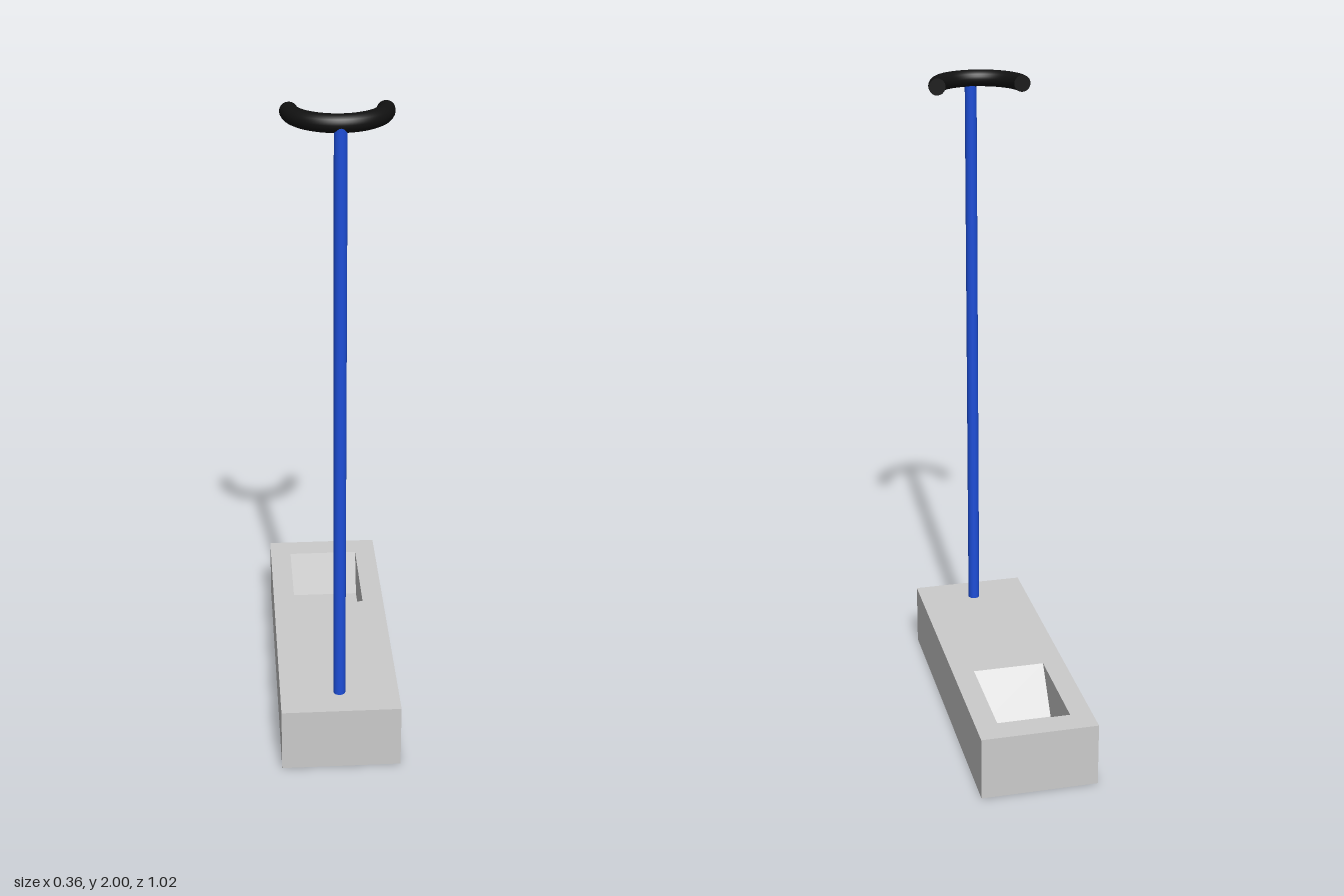
import * as THREE from 'three';
import { mergeGeometries } from 'three/addons/utils/BufferGeometryUtils.js';

const material = (color, extra = {}) => new THREE.MeshStandardMaterial({ color, ...extra });

function part(name, geometry, mat) {
  const mesh = new THREE.Mesh(geometry, mat);
  mesh.name = name;
  return mesh;
}

// Rectangle of four corners, counter-clockwise seen from above
const ring = (hx, back, front, y) => [
  [-hx, y, front], [hx, y, front], [hx, y, back], [-hx, y, back],
];

// Closed faceted solid through a chain of rectangles
function loftRings(rings) {
  const pos = [];
  const quad = (a, b, c, d) => pos.push(...a, ...b, ...c, ...a, ...c, ...d);
  const first = rings[0], last = rings[rings.length - 1];
  quad(first[3], first[2], first[1], first[0]);
  for (let k = 0; k < rings.length - 1; k++) {
    for (let i = 0; i < 4; i++) {
      const j = (i + 1) % 4;
      quad(rings[k][i], rings[k][j], rings[k + 1][j], rings[k + 1][i]);
    }
  }
  quad(...last);
  const geometry = new THREE.BufferGeometry();
  geometry.setAttribute('position', new THREE.Float32BufferAttribute(pos, 3));
  geometry.computeVertexNormals();
  return geometry;
}

// Horizontal arc of round bar with flat ends, bulging towards +z
function arcBar(radius, tube, arc) {
  const start = new THREE.CircleGeometry(tube, 20).rotateX(Math.PI / 2).translate(radius, 0, 0);
  const end = new THREE.CircleGeometry(tube, 20).rotateX(-Math.PI / 2).translate(radius, 0, 0).rotateZ(arc);
  return mergeGeometries([new THREE.TorusGeometry(radius, tube, 20, 48, arc), start, end])
    .rotateZ((Math.PI - arc) / 2)
    .rotateX(Math.PI / 2);
}

export function createModel() {
  const model = new THREE.Group();
  model.name = 'handledBlock';

  // Block: outer walls, top rim, then the sloped recess down to its floor
  model.add(part('base', loftRings([
    ring(0.18, -0.51, 0.51, 0),
    ring(0.18, -0.51, 0.51, 0.2),
    ring(0.1125, -0.43, -0.105, 0.2),
    ring(0.1125, -0.38, -0.205, 0.063),
  ]), material(0xcccccc, { flatShading: true })));

  // Upright pole near the front end
  const pole = part('pole', new THREE.CylinderGeometry(0.0183, 0.0183, 1.775, 24), material(0x1d4ed8));
  pole.position.set(0, 0.2 + 1.775 / 2, 0.408);
  model.add(pole);

  // Half-round handle, open towards the back
  const handle = part('handle', arcBar(0.131, 0.0255, 3.08), material(0x111111));
  handle.position.set(0, 1.9745, 0.271);
  model.add(handle);

  return model;
}
